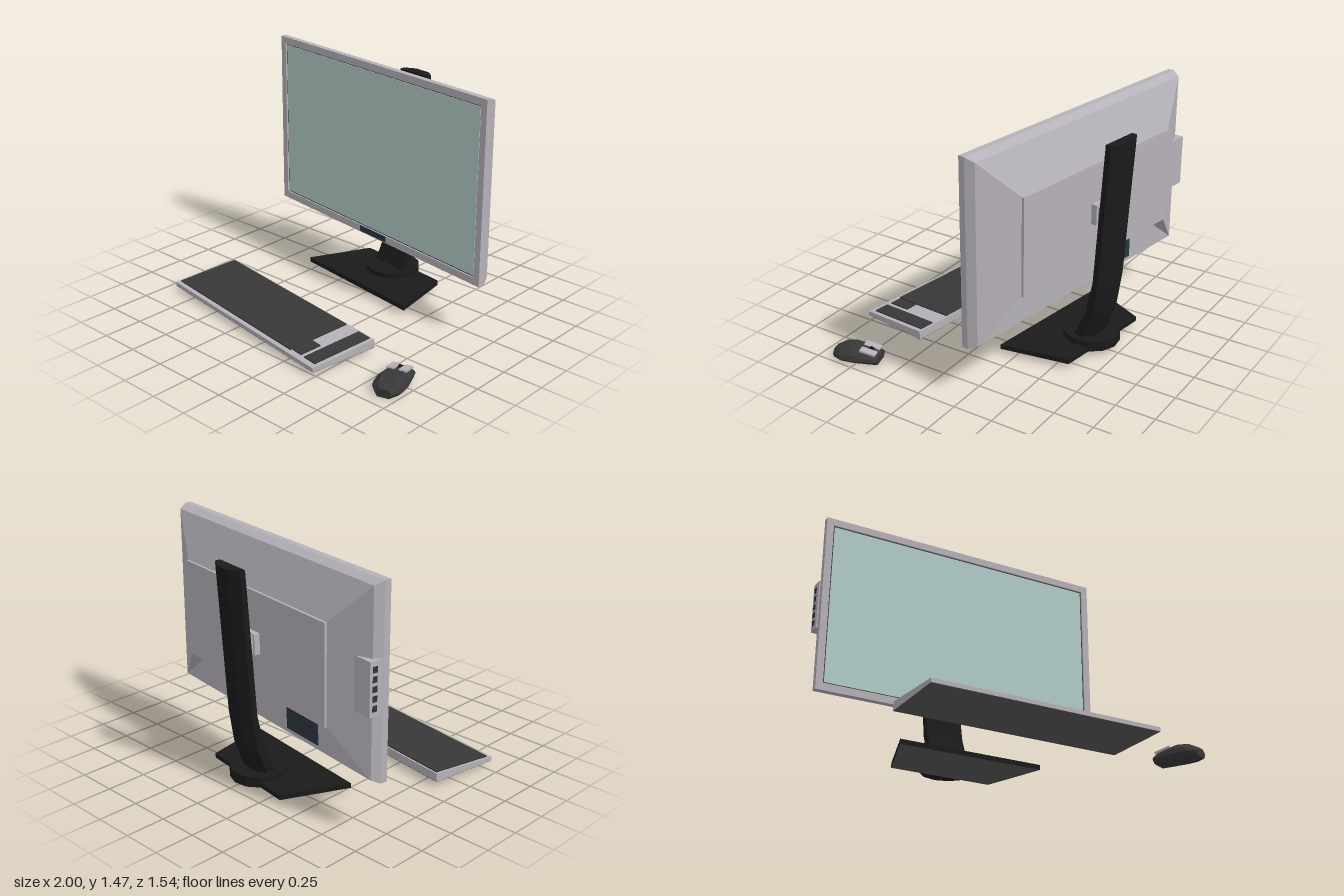
import * as THREE from 'three';

const mat = (color) => new THREE.MeshStandardMaterial({ color, flatShading: true });
const SILVER = mat(0xb5b1b8), BLACK = mat(0x1a1a1a), DARK = mat(0x383838);
const GLASS = mat(0xb2ccc7), SLATE = mat(0x2a363e), UNDER = mat(0x5a585a);
const TURN = -0.145; // the desk set is turned slightly to one side

const V = (x, y, z) => new THREE.Vector3(x, y, z);

function add(parent, name, geometry, material, x = 0, y = 0, z = 0) {
  const mesh = new THREE.Mesh(geometry, material);
  mesh.name = name;
  mesh.position.set(x, y, z);
  parent.add(mesh);
  return mesh;
}

// box given by its min and max along each axis
function box(parent, name, material, [x0, x1], [y0, y1], [z0, z1]) {
  return add(parent, name, new THREE.BoxGeometry(x1 - x0, y1 - y0, z1 - z0), material,
    (x0 + x1) / 2, (y0 + y1) / 2, (z0 + z1) / 2);
}

// flat-shaded geometry from convex polygons
function polygons(list) {
  const pts = [];
  for (const p of list)
    for (let i = 1; i < p.length - 1; i++) pts.push(p[0], p[i], p[i + 1]);
  const g = new THREE.BufferGeometry().setFromPoints(pts);
  g.computeVertexNormals();
  return g;
}

// side faces between rings, which run anticlockwise about the loft direction
function loft(rings, caps = true) {
  const faces = [];
  for (let k = 0; k < rings.length - 1; k++) {
    const a = rings[k], b = rings[k + 1];
    a.forEach((p, i) => {
      const j = (i + 1) % a.length;
      faces.push([p, a[j], b[j], b[i]]);
    });
  }
  if (caps) faces.push([...rings[0]].reverse(), rings[rings.length - 1]);
  return faces;
}

// corners: bottom -x, bottom +x, top +x, top -x
const rect = (w, y0, y1, z) => [V(-w, y0, z), V(w, y0, z), V(w, y1, z), V(-w, y1, z)];

function buildMonitor() {
  const g = new THREE.Group();
  g.name = 'monitor';

  // rear shell: rim, chamfer, sloping sides and a recess under the back panel
  const c = rect(0.9275, 0.35, 1.445, -0.092);
  const p = rect(0.68, 0.6, 1.2, -0.198);
  const al = V(-0.645, 0.567, -0.095), ar = V(0.645, 0.567, -0.095);
  const shell = loft([c, rect(0.9525, 0.325, 1.47, -0.04), rect(0.9525, 0.325, 1.47, 0)], false);
  shell.push(
    [c[3], c[2], p[2], p[3]], [c[2], c[1], p[1], p[2]], [c[0], c[3], p[3], p[0]],
    [c[1], c[0], al, ar], [ar, al, p[0], p[1]], [c[1], ar, p[1]], [c[0], p[0], al]);
  add(g, 'rearShell', polygons(shell), SILVER);
  box(g, 'backPanel', SILVER, [-0.68, 0.68], [0.6, 1.2], [-0.213, -0.19]);

  // front bezel, dark liner and screen
  const bezel = new THREE.Shape(rect(0.9525, 0.325, 1.47, 0).map((v) => new THREE.Vector2(v.x, v.y)));
  bezel.holes.push(new THREE.Path(rect(0.907, 0.372, 1.425, 0).reverse().map((v) => new THREE.Vector2(v.x, v.y))));
  add(g, 'bezel', new THREE.ExtrudeGeometry(bezel, { depth: 0.012, bevelEnabled: false }), SILVER, 0, 0, -0.012);
  box(g, 'screenLiner', DARK, [-0.907, 0.907], [0.372, 1.425], [-0.02, -0.01]);
  box(g, 'screen', GLASS, [-0.899, 0.899], [0.38, 1.417], [-0.015, -0.006]);
  box(g, 'controlStrip', SLATE, [-0.125, 0.125], [0.332, 0.37], [-0.005, 0.003]);

  // rear label, side hub with sockets, ledge sockets
  box(g, 'rearLabel', SLATE, [-0.47, -0.18], [0.38, 0.54], [-0.1, -0.09]);
  box(g, 'sideHub', SILVER, [-0.957, -0.78], [0.735, 1.05], [-0.133, -0.05]);
  for (let i = 0; i < 5; i++)
    box(g, 'hubSocket', SLATE, [-0.96, -0.95], [0.765 + i * 0.055, 0.8 + i * 0.055], [-0.115, -0.085]);
  for (const x of [0.6, 0.53, 0.46, 0.39, -0.5, -0.56])
    add(g, 'ledgeSocket', new THREE.BoxGeometry(0.045, 0.006, 0.025), BLACK, x, 0.582, -0.147).rotation.x = 0.327;

  // mount between panel and stand
  box(g, 'mountPlate', SILVER, [-0.085, 0.085], [0.835, 0.96], [-0.25, -0.21]);
  box(g, 'mountBlock', SILVER, [-0.07, 0.07], [0.845, 0.95], [-0.32, -0.25]);
  return g;
}

function buildStand() {
  const g = new THREE.Group();
  g.name = 'stand';

  // trapezoid foot, wider at the front
  const foot = new THREE.Shape([[-0.47, -0.147], [0.47, -0.147], [0.336, 0.268], [-0.336, 0.268]]
    .map(([x, y]) => new THREE.Vector2(x, y)));
  add(g, 'foot', new THREE.ExtrudeGeometry(foot, { depth: 0.03, bevelEnabled: false }), BLACK, 0, 0.03, 0)
    .rotation.x = -Math.PI / 2;
  add(g, 'footUnderside', new THREE.ShapeGeometry(new THREE.Shape(
    foot.getPoints().map((v) => new THREE.Vector2(v.x, -v.y)))), UNDER, 0, 0.029, 0).rotation.x = Math.PI / 2;
  add(g, 'swivelDisc', new THREE.CylinderGeometry(0.175, 0.175, 0.065, 12), BLACK, 0, 0.0625, -0.177);

  // bent column: height, front z, back z
  const rings = [[0.09, -0.139, -0.244], [0.27, -0.22, -0.31], [0.48, -0.265, -0.342], [1.365, -0.326, -0.4]]
    .map(([y, f, b]) => [
      V(0.123, y, f), V(0.123, y, b + 0.04), V(0.058, y, b),
      V(-0.058, y, b), V(-0.123, y, b + 0.04), V(-0.123, y, f)]);
  add(g, 'column', polygons(loft(rings)), BLACK);
  return g;
}

function buildKeyboard() {
  const g = new THREE.Group();
  g.name = 'keyboard';
  const hw = 0.715, hd = 0.2275, front = 0.055, back = 0.083;

  // wedge body
  const body = new THREE.BoxGeometry(hw * 2, 0.02, hd * 2);
  const pos = body.attributes.position;
  for (let i = 0; i < pos.count; i++)
    pos.setY(i, pos.getY(i) < 0 ? 0.03 : pos.getZ(i) > 0 ? front : back);
  add(g, 'keyboardBody', body, SILVER);
  box(g, 'keyboardUnderside', UNDER, [-hw, hw], [0.0285, 0.031], [-hd, hd]);

  // key fields lying on the slope
  const tilt = Math.atan2(back - front, hd * 2);
  for (const [name, x0, x1, z0, z1] of [
    ['mainKeys', -0.7, 0.472, -0.217, 0.2],
    ['arrowKeys', 0.482, 0.557, 0.046, 0.188],
    ['numberKeys', 0.59, 0.688, -0.213, 0.192]]) {
    const z = (z0 + z1) / 2, y = (front + back) / 2 - z * Math.tan(tilt);
    add(g, name, new THREE.BoxGeometry(x1 - x0, 0.016, z1 - z0), DARK, (x0 + x1) / 2, y, z).rotation.x = tilt;
  }
  return g;
}

function buildMouse() {
  const g = new THREE.Group();
  g.name = 'mouse';

  // body lofted nose to tail: z, half width, height
  const half = (w, h) => [[0.72 * w, 0], [w, 0.025], [0.92 * w, 0.65 * h], [0.55 * w, h]];
  const rings = [[-0.14, 0.07, 0.055], [-0.09, 0.08, 0.075], [0.02, 0.095, 0.088], [0.09, 0.09, 0.078], [0.145, 0.05, 0.052]]
    .map(([z, w, h]) => {
      const r = half(w, h);
      return [...r.map(([x, y]) => V(x, y, z)), ...r.reverse().map(([x, y]) => V(-x, y, z))];
    });
  add(g, 'mouseBody', polygons(loft(rings)), DARK);

  // buttons and wheel
  for (const s of [-1, 1])
    add(g, 'mouseButton', new THREE.BoxGeometry(0.048, 0.012, 0.1), SILVER, s * 0.037, 0.074, -0.08).rotation.x = -0.2;
  const wheel = add(g, 'mouseWheel', new THREE.CylinderGeometry(0.018, 0.018, 0.014, 10), BLACK, 0, 0.07, -0.085);
  wheel.rotation.z = Math.PI / 2;
  return g;
}

export function createModel() {
  const model = new THREE.Group();
  model.name = 'desktopSet';
  const place = (part, x, z, turn) => {
    part.position.set(x, 0, z);
    part.rotation.y = turn;
    model.add(part);
  };
  place(buildMonitor(), -0.0575, -0.37, TURN);
  place(buildStand(), -0.0575, -0.37, TURN);
  place(buildKeyboard(), -0.18, 0.44, TURN);
  place(buildMouse(), 0.885, 0.53, 0.28);
  return model;
}
